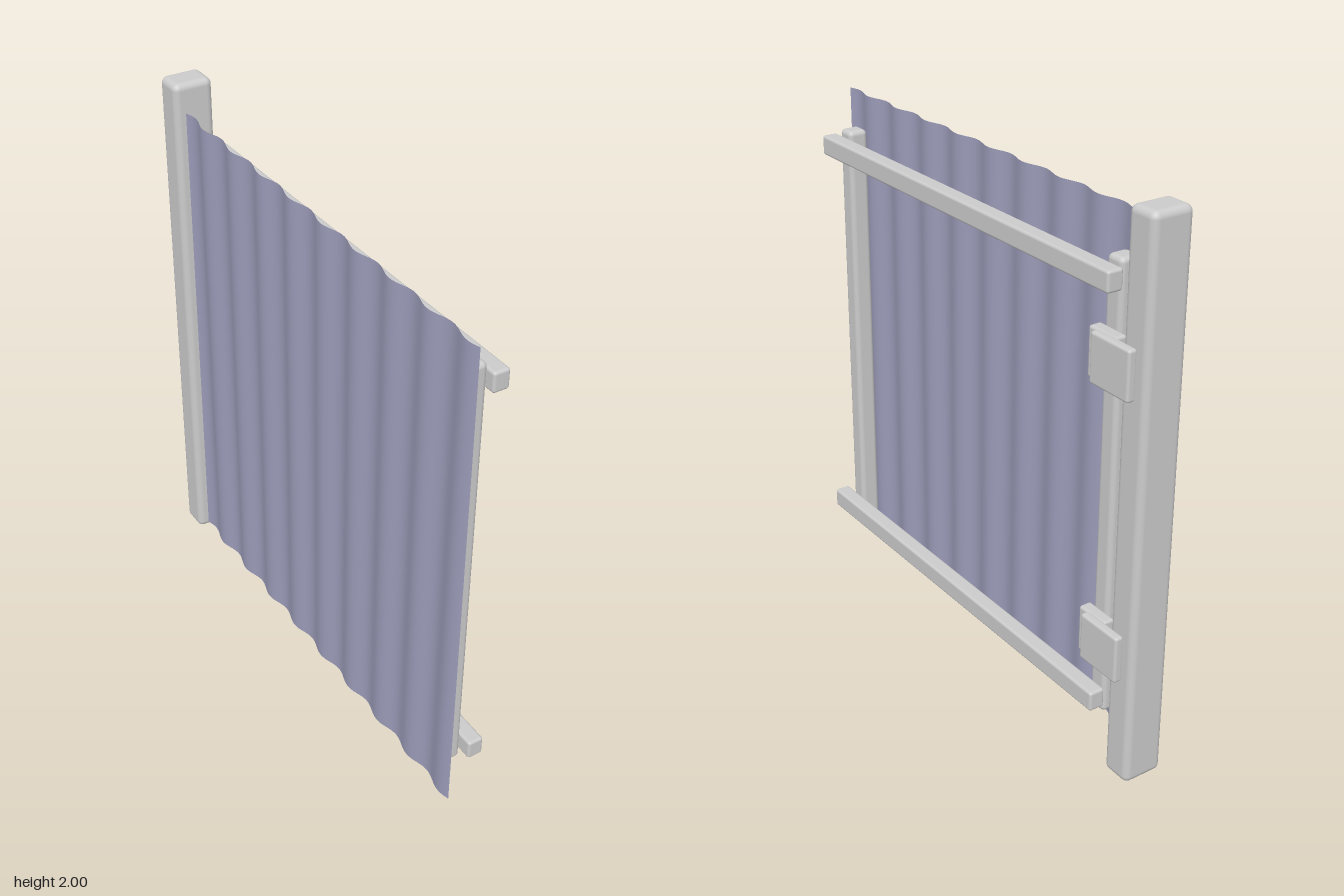
import * as THREE from 'three';
import { RoundedBoxGeometry } from 'three/addons/geometries/RoundedBoxGeometry.js';

const grey = new THREE.MeshStandardMaterial({ color: 0xcccccc });
const sheetMaterial = new THREE.MeshStandardMaterial({ color: 0x9e9ebc, side: THREE.DoubleSide });

// Rounded bar given by its extents along x, y and z
function bar(name, [x0, x1], [y0, y1], [z0, z1], radius) {
  const geometry = new RoundedBoxGeometry(x1 - x0, y1 - y0, z1 - z0, 3, radius);
  const mesh = new THREE.Mesh(geometry, grey);
  mesh.position.set((x0 + x1) / 2, (y0 + y1) / 2, (z0 + z1) / 2);
  mesh.name = name;
  return mesh;
}

// Thin corrugated sheet with vertical ripples
function corrugatedSheet() {
  const geometry = new THREE.PlaneGeometry(1.74, 1.85, 144, 1);
  geometry.rotateY(Math.PI / 2);
  const p = geometry.attributes.position;
  const ripples = 9;
  for (let i = 0; i < p.count; i++) {
    p.setX(i, 0.01 * Math.sin((p.getZ(i) / 1.74 + 0.5) * ripples * Math.PI * 2));
  }
  geometry.computeVertexNormals();
  const mesh = new THREE.Mesh(geometry, sheetMaterial);
  mesh.position.set(-0.078, 0.995, 0.09);
  mesh.name = 'corrugatedSheet';
  return mesh;
}

// Two overlapping leaves joining the gate to the post
function hinge(name, y) {
  const group = new THREE.Group();
  group.name = name;
  group.add(
    bar('gateLeaf', [0.018, 0.065], [y, y + 0.173], [-0.81, -0.68], 0.01),
    bar('postLeaf', [0.057, 0.09], [y, y + 0.173], [-0.905, -0.72], 0.01)
  );
  return group;
}

export function createModel() {
  const gate = new THREE.Group();
  gate.name = 'gate';

  gate.add(bar('post', [-0.09, 0.063], [0, 2], [-0.955, -0.838], 0.025));

  // Frame
  gate.add(
    bar('hingeUpright', [-0.06, 0.016], [0.16, 1.797], [-0.767, -0.693], 0.018),
    bar('latchUpright', [-0.06, 0.016], [0.16, 1.797], [0.812, 0.886], 0.018),
    bar('topRail', [0.015, 0.075], [1.7, 1.773], [-0.777, 0.915], 0.01),
    bar('bottomRail', [0.015, 0.075], [0.19, 0.264], [-0.77, 0.935], 0.01)
  );

  gate.add(corrugatedSheet());
  gate.add(hinge('upperHinge', 1.398), hinge('lowerHinge', 0.392));

  return gate;
}
